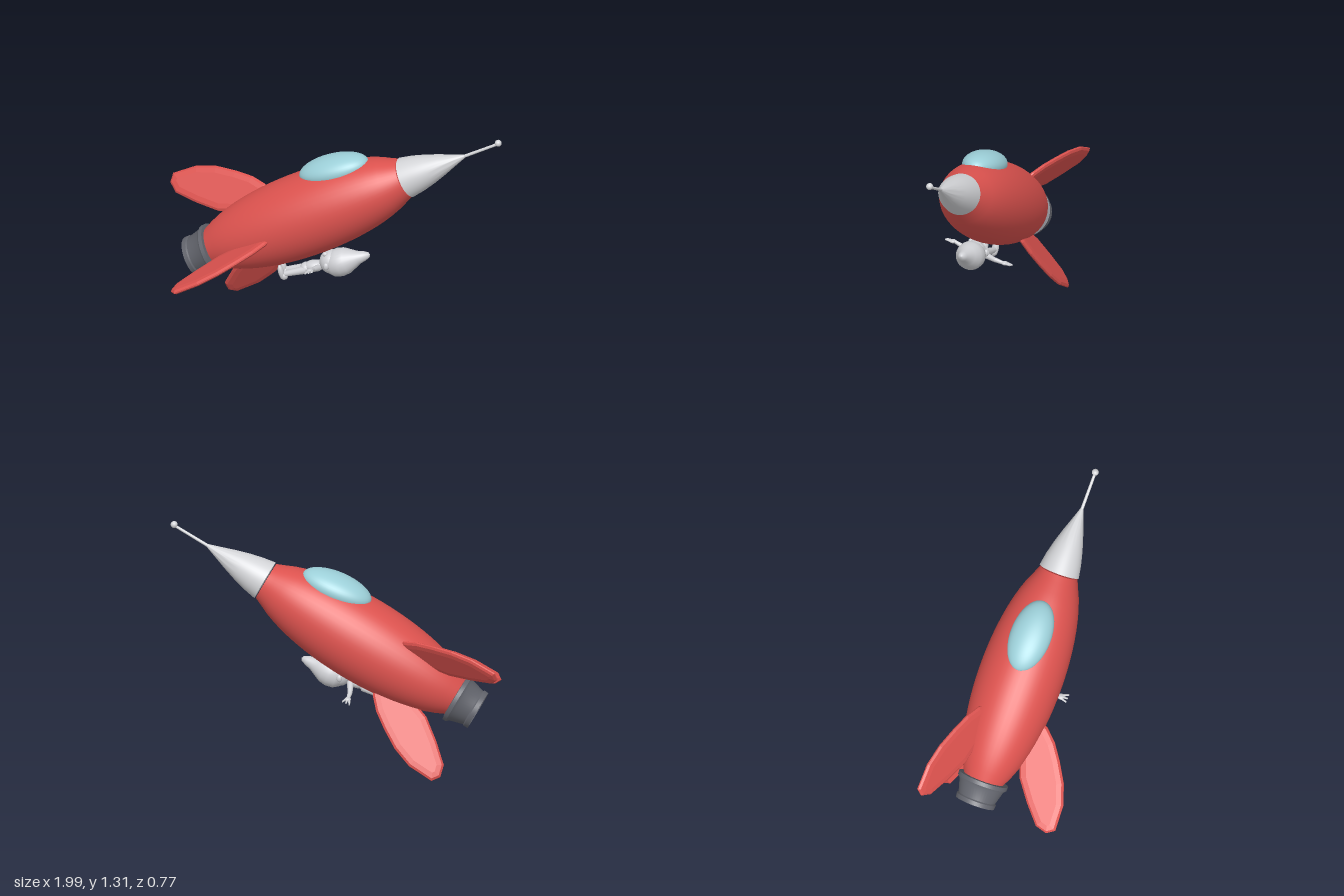
import * as THREE from 'three';
import { toCreasedNormals } from 'three/addons/utils/BufferGeometryUtils.js';

const mat = (name, color) => {
  const m = new THREE.MeshStandardMaterial({ color });
  m.name = name;
  return m;
};
const V = (x, y, z) => new THREE.Vector3(x, y, z);

export function createModel() {
  const model = new THREE.Group();
  const red = mat('red', 0xdc524e);
  const silver = mat('silver', 0xd3d4d7);
  const dark = mat('darkGrey', 0x63656d);
  const glass = mat('paleBlue', 0x9ccfd8);
  const clay = mat('lightGrey', 0xcfd0d4);

  const add = (parent, name, geo, material) => {
    const mesh = new THREE.Mesh(geo, material);
    mesh.name = name;
    parent.add(mesh);
    return mesh;
  };

  // The rocket is built along its own x axis, then tilted
  const rocket = new THREE.Group();
  rocket.name = 'rocket';
  rocket.position.set(-0.13, 0.709, -0.107);
  rocket.rotation.z = THREE.MathUtils.degToRad(27.6);
  model.add(rocket);

  // Turned part from [axis position, radius] pairs, rear to front
  const turned = (name, pts, material) => {
    const geo = new THREE.LatheGeometry(pts.map(([t, r]) => new THREE.Vector2(r, t)), 48);
    geo.rotateZ(-Math.PI / 2);
    return add(rocket, name, toCreasedNormals(geo, 0.5), material);
  };

  // Hull: ellipse profile with chamfered ends
  const hull = [[-0.635, 0], [-0.635, 0.112]];
  for (let i = 0; i <= 20; i++) {
    const t = -0.565 + (i / 20) * 1.16;
    hull.push([t, 0.24 * Math.sqrt(1 - (t / 0.71) ** 2)]);
  }
  hull.push([0.638, 0.113], [0.638, 0]);
  turned('hull', hull, red);

  turned('noseCone', [[0.645, 0], [0.645, 0.118], [0.72, 0.105], [0.8, 0.085], [0.88, 0.06],
    [0.96, 0.032], [1.037, 0.006], [1.04, 0]], silver);
  turned('antennaRod', [[1.02, 0.009], [1.25, 0.008]], silver);
  const ball = add(rocket, 'antennaBall', new THREE.SphereGeometry(0.02, 20, 14), silver);
  ball.position.set(1.25, 0.004, 0);

  // Nozzle with a front collar, waist and recessed outlet
  const nozzle = turned('nozzle', [[-0.735, 0], [-0.735, 0.088], [-0.77, 0.1], [-0.77, 0.115],
    [-0.745, 0.117], [-0.738, 0.11], [-0.66, 0.132], [-0.645, 0.146], [-0.622, 0.147],
    [-0.618, 0.11], [-0.6, 0.1]], dark);
  nozzle.position.y = -0.007;

  const canopy = add(rocket, 'canopy', new THREE.SphereGeometry(1, 40, 24), glass);
  canopy.scale.set(0.211, 0.08, 0.118);
  canopy.position.set(0.273, 0.2, 0);
  canopy.rotation.z = -0.15;

  // Three leaf-shaped fins with bevelled edges
  const finShape = new THREE.Shape([[-0.19, 0.19], [-0.217, 0.245], [-0.28, 0.312], [-0.37, 0.375],
    [-0.48, 0.44], [-0.6, 0.482], [-0.752, 0.488], [-0.784, 0.443], [-0.766, 0.374],
    [-0.66, 0.28], [-0.54, 0.19], [-0.4, 0.14]].map(([t, r]) => new THREE.Vector2(t, r)));
  const finGeo = new THREE.ExtrudeGeometry(finShape, {
    depth: 0.008, bevelEnabled: true, bevelThickness: 0.013, bevelSize: 0.04,
    bevelOffset: -0.04, bevelSegments: 2,
  });
  finGeo.translate(0, 0, -0.004);
  for (const [name, deg] of [['frontFin', 90], ['upperFin', -35], ['lowerFin', 215]]) {
    add(rocket, name, finGeo, red).rotation.x = THREE.MathUtils.degToRad(deg);
  }

  // Small figure lying on its back under the hull
  const figure = new THREE.Group();
  figure.name = 'figure';
  model.add(figure);
  const blob = (name, x, y, z, sx, sy, sz, tilt = 0) => {
    const m = add(figure, name, new THREE.SphereGeometry(1, 20, 14), clay);
    m.position.set(x, y, z);
    m.scale.set(sx, sy, sz);
    m.rotation.z = tilt;
  };
  const limb = (name, a, b, ra, rb) => {
    const d = b.clone().sub(a);
    const m = add(figure, name, new THREE.CylinderGeometry(rb, ra, d.length(), 14), clay);
    m.position.copy(a).addScaledVector(d, 0.5);
    m.quaternion.setFromUnitVectors(V(0, 1, 0), d.normalize());
  };

  // Head, face and swept-back pointed hair
  blob('head', 0.02, 0.45, -0.04, 0.068, 0.07, 0.07);
  blob('nose', -0.02, 0.515, -0.04, 0.014, 0.018, 0.013);
  const hairProfile = [[0, -0.055], [0.05, -0.045], [0.076, -0.01], [0.083, 0.035], [0.076, 0.075],
    [0.056, 0.115], [0.038, 0.15], [0.028, 0.185], [0.016, 0.212], [0, 0.22]];
  const hair = add(figure, 'hair', new THREE.LatheGeometry(
    hairProfile.map(([r, y]) => new THREE.Vector2(r, y)), 28), clay);
  hair.position.set(0.04, 0.44, -0.04);
  hair.rotation.z = -Math.PI / 2 + 0.38;

  // Torso
  blob('torso', -0.08, 0.41, -0.04, 0.062, 0.034, 0.042, 0.2);
  blob('hips', -0.125, 0.395, -0.04, 0.035, 0.03, 0.04);

  // Mirrored limbs about the figure's middle plane; the arms slant with the pose
  for (const s of [1, -1]) {
    const side = s > 0 ? 'left' : 'right';
    const z = (w) => -0.04 + s * w;
    blob(side + 'Eye', -0.01, 0.505, z(0.026), 0.016, 0.014, 0.015);
    blob(side + 'Ear', 0.005, 0.45, z(0.07), 0.016, 0.022, 0.014);
    limb(side + 'Leg', V(-0.12, 0.39, z(0.02)), V(-0.245, 0.352, z(0.028)), 0.024, 0.017);
    blob(side + 'Heel', -0.25, 0.338, z(0.028), 0.024, 0.024, 0.02);
    blob(side + 'Foot', -0.265, 0.362, z(0.032), 0.017, 0.046, 0.02, 0.25);

    const wrist = V(-0.068, 0.412 + s * 0.045, z(0.145));
    const elbow = V(-0.065, 0.408 + s * 0.027, z(0.095));
    limb(side + 'UpperArm', V(-0.05, 0.415, z(0.03)), elbow, 0.02, 0.014);
    limb(side + 'Forearm', elbow, wrist, 0.014, 0.01);
    blob(side + 'Hand', wrist.x, wrist.y, z(0.155), 0.019, 0.011, 0.02);
    for (let i = -1; i <= 1; i++) {
      limb(side + 'Finger' + (i + 2), V(wrist.x + i * 0.01, wrist.y, z(0.16)),
        V(wrist.x + i * 0.02, wrist.y + s * 0.008 + i * 0.008, z(0.195)), 0.007, 0.005);
    }
  }
  return model;
}
